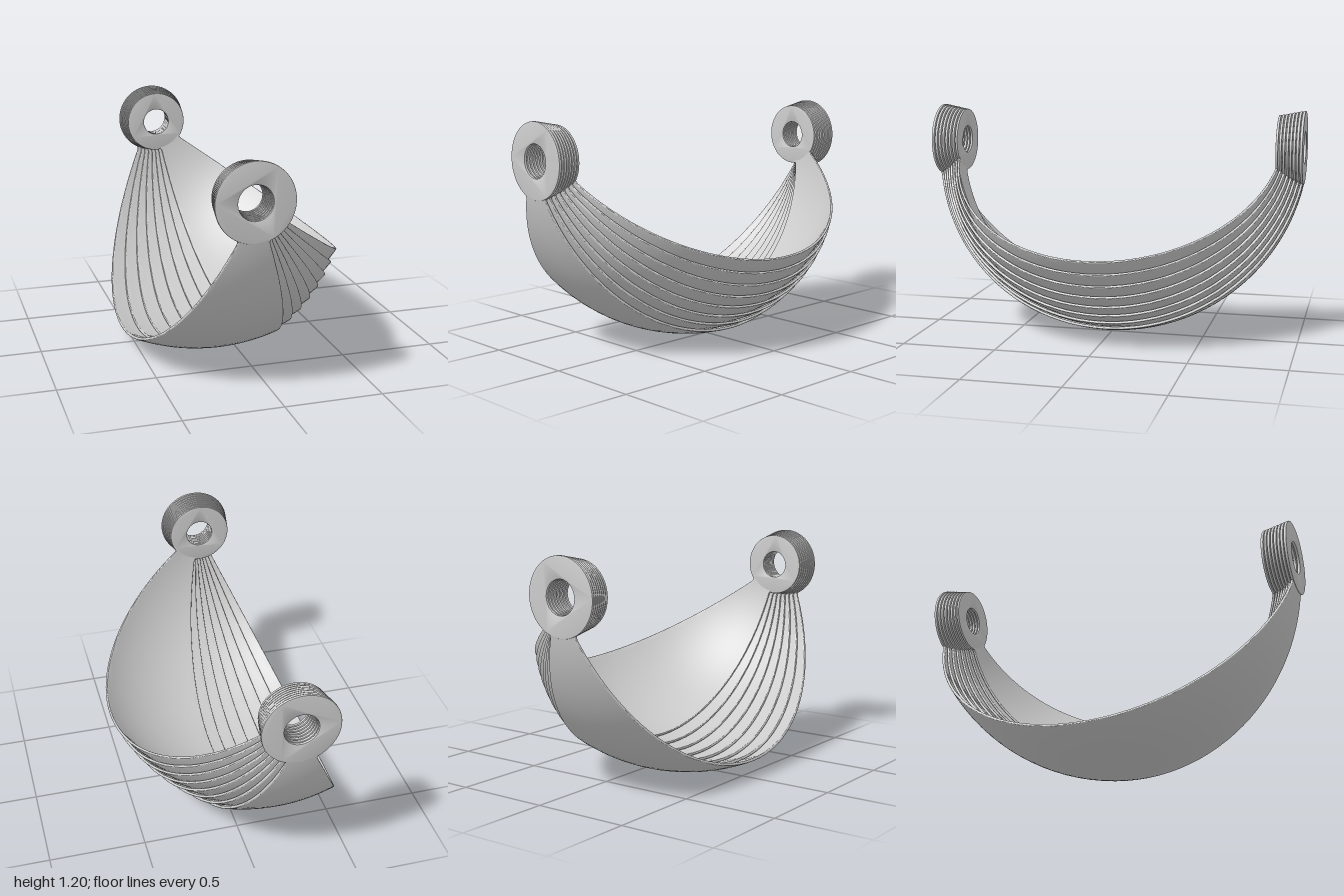
import * as THREE from 'three';
import { toCreasedNormals } from 'three/addons/utils/BufferGeometryUtils.js';

const T = 0.0145;                  // plate thickness
const EDGE = 0.004;                // rounded edge radius
const RING_R = 0.192, HOLE_R = 0.084;
const ARC_R = 1.018, ARC_C = -0.01; // profile arc, its centre just past the pivot axis
const ARC_END = Math.asin(1 / ARC_R);
const HALF = THREE.MathUtils.degToRad(22.1);

// Closed cross-section of the plate: fraction of half angle, shift along the arc, depth
function crossSection() {
  const side = [];
  side.push([1, -EDGE * 2.5, 0]);
  for (let k = 0; k <= 3; k++) {
    const a = (k / 3) * Math.PI / 2;
    side.push([1, -EDGE + EDGE * Math.sin(a), EDGE - EDGE * Math.cos(a)]);
  }
  for (let k = 0; k <= 3; k++) {
    const a = (k / 3) * Math.PI / 2;
    side.push([1, -EDGE + EDGE * Math.cos(a), T - EDGE + EDGE * Math.sin(a)]);
  }
  side.push([1, -EDGE * 2.5, T]);
  const face = [];
  const n = 20;
  for (let k = 1; k < n; k++) face.push(-1 + (2 * k) / n);
  return [
    ...face.map(u => [u, 0, 0]),
    ...side,
    ...face.map(u => [-u, 0, T]),
    ...side.slice().reverse().map(([u, s, d]) => [-u, -s, d]),
  ];
}

// Curved shell: the cross-section swept along the arc from the rear ring to the front ring
function shellGeometry() {
  const loop = crossSection(), m = loop.length, steps = 72;
  const pos = [], idx = [];
  for (let i = 0; i <= steps; i++) {
    const a = ARC_END * Math.sin((Math.PI / 2) * (2 * i / steps - 1)); // denser at the necks
    const c = Math.cos(a), s = Math.sin(a);
    const rOuter = ARC_C + ARC_R * c;
    const fillet = 0.1 * Math.max(0, 1 - (rOuter - 0.18) / 0.03) ** 2;
    for (const [u, shift, d] of loop) {
      const r = rOuter - d * c;
      const th = u * (HALF + fillet) + shift / rOuter;
      pos.push(r * Math.sin(th), -r * Math.cos(th), (ARC_R - d) * s);
    }
  }
  for (let i = 0; i < steps; i++) {
    for (let j = 0; j < m; j++) {
      const j2 = (j + 1) % m;
      const p = i * m + j, q = i * m + j2;
      idx.push(p, q, p + m, q, q + m, p + m);
    }
  }
  const g = new THREE.BufferGeometry();
  g.setAttribute('position', new THREE.Float32BufferAttribute(pos, 3));
  g.setIndex(idx);
  return toCreasedNormals(g, 0.6);
}

// Flat pivot ring with softened rims, back face at z = 0
function ringGeometry() {
  const b = 0.003;
  const shape = new THREE.Shape().absarc(0, 0, RING_R - b, 0, Math.PI * 2, false);
  shape.holes.push(new THREE.Path().absarc(0, 0, HOLE_R + b, 0, Math.PI * 2, true));
  const g = new THREE.ExtrudeGeometry(shape, {
    depth: T - 2 * b, bevelEnabled: true, bevelSize: b, bevelThickness: b,
    bevelSegments: 2, curveSegments: 48,
  });
  g.translate(0, 0, b);
  return toCreasedNormals(g, 0.6);
}

export function createModel() {
  const model = new THREE.Group();
  model.name = 'foldingVisor';
  const mat = new THREE.MeshStandardMaterial({ color: 0xcccccc });
  const shell = shellGeometry(), ring = ringGeometry();

  // Eight nested blades, each a little smaller and turned further about the pivot
  for (let i = 0; i < 8; i++) {
    const blade = new THREE.Group();
    blade.name = `blade${i + 1}`;
    const add = (name, geo, z) => {
      const mesh = new THREE.Mesh(geo, mat);
      mesh.name = name;
      mesh.position.z = z;
      blade.add(mesh);
    };
    add('bladeShell', shell, 0);
    add('frontPivotRing', ring, 1 - T);
    add('rearPivotRing', ring, -1);
    blade.position.set(-0.15, 1.008, 0);
    blade.rotation.z = THREE.MathUtils.degToRad(-2.5 + 5 * i);
    blade.scale.setScalar(1 - 0.018 * i);
    model.add(blade);
  }
  return model;
}
